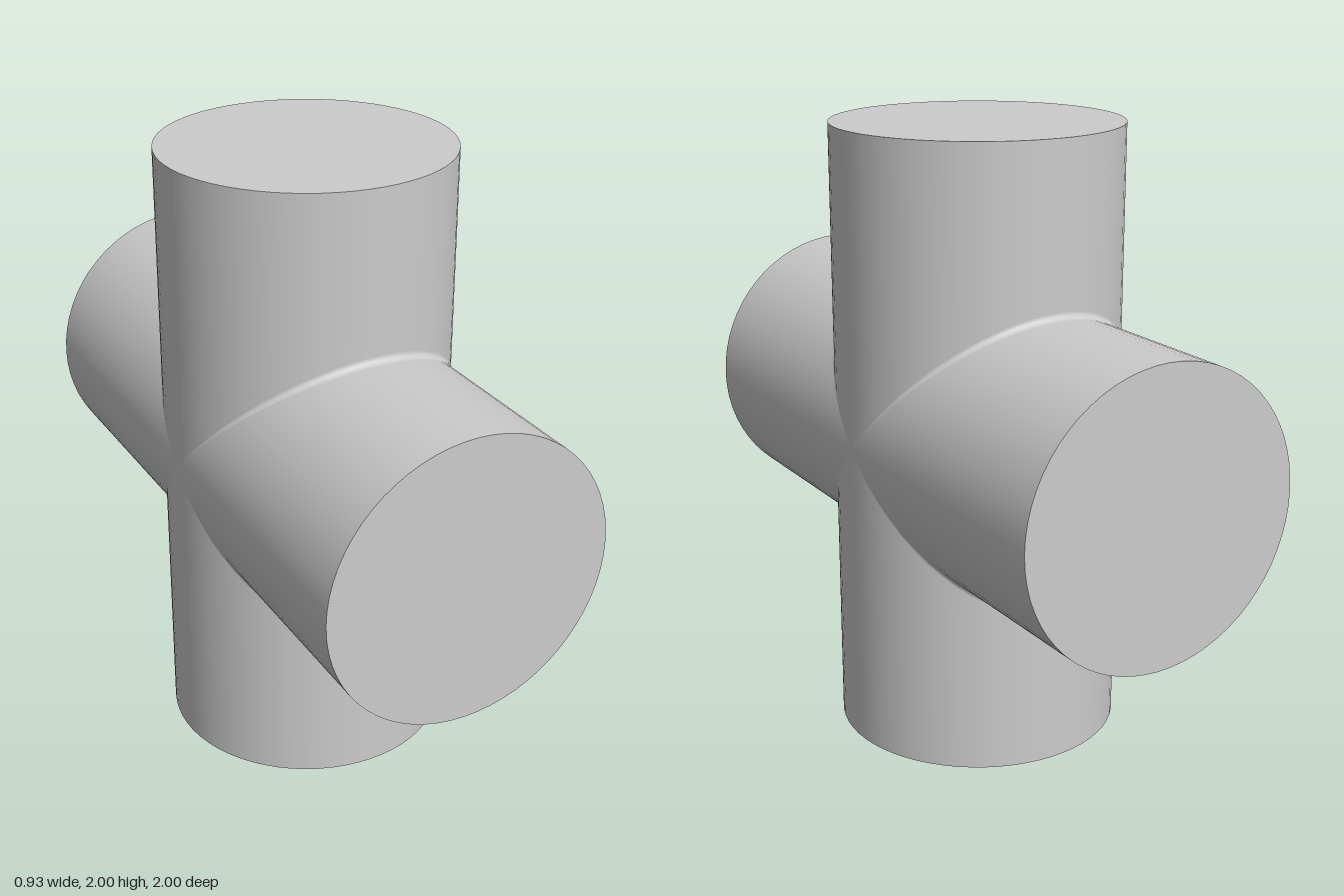
import * as THREE from 'three';

const R = 0.463;      // pipe radius
const FILLET = 0.022; // blend radius in the crotch
const SIDES = 64;
const STEPS = 4;      // rows across half of the fillet

// Open pipe along +y, its inner end mitred at 45 degrees and blended by a small fillet
function armGeometry() {
  const geo = new THREE.CylinderGeometry(R, R, 1, SIDES, STEPS + 1, true);
  const pos = geo.attributes.position;
  const nor = geo.attributes.normal;
  for (let i = 0; i < pos.count; i++) {
    const row = Math.floor(i / (SIDES + 1));
    const x = pos.getX(i), z = pos.getZ(i);
    if (row === 0) {
      pos.setY(i, 1);
      nor.setXYZ(i, x / R, 0, z / R);
      continue;
    }
    const t = ((row - 1) / STEPS) * Math.PI / 4;
    const depth = Math.abs(z);
    const f = FILLET * depth / R; // fades out where the pipes meet tangentially
    pos.setXYZ(i, x, depth + f * (1 - Math.sin(t)), Math.sign(z) * (depth + f * (1 - Math.cos(t))));
    nor.setXYZ(i, x / R, (depth / R) * Math.sin(t), (z / R) * Math.cos(t));
  }
  return geo;
}

export function createModel() {
  const model = new THREE.Group();
  model.name = 'pipeCross';
  const material = new THREE.MeshStandardMaterial({ color: 0xcccccc });

  const wall = armGeometry();
  const cap = new THREE.CircleGeometry(R, SIDES).rotateX(-Math.PI / 2).translate(0, 1, 0);

  // Four equal arms around the x axis
  ['topArm', 'frontArm', 'bottomArm', 'backArm'].forEach((name, k) => {
    const arm = new THREE.Group();
    arm.name = name;
    const pipe = new THREE.Mesh(wall, material);
    pipe.name = 'pipeWall';
    const end = new THREE.Mesh(cap, material);
    end.name = 'endCap';
    arm.add(pipe, end);
    arm.rotation.x = k * Math.PI / 2;
    arm.position.y = 1;
    model.add(arm);
  });
  return model;
}
